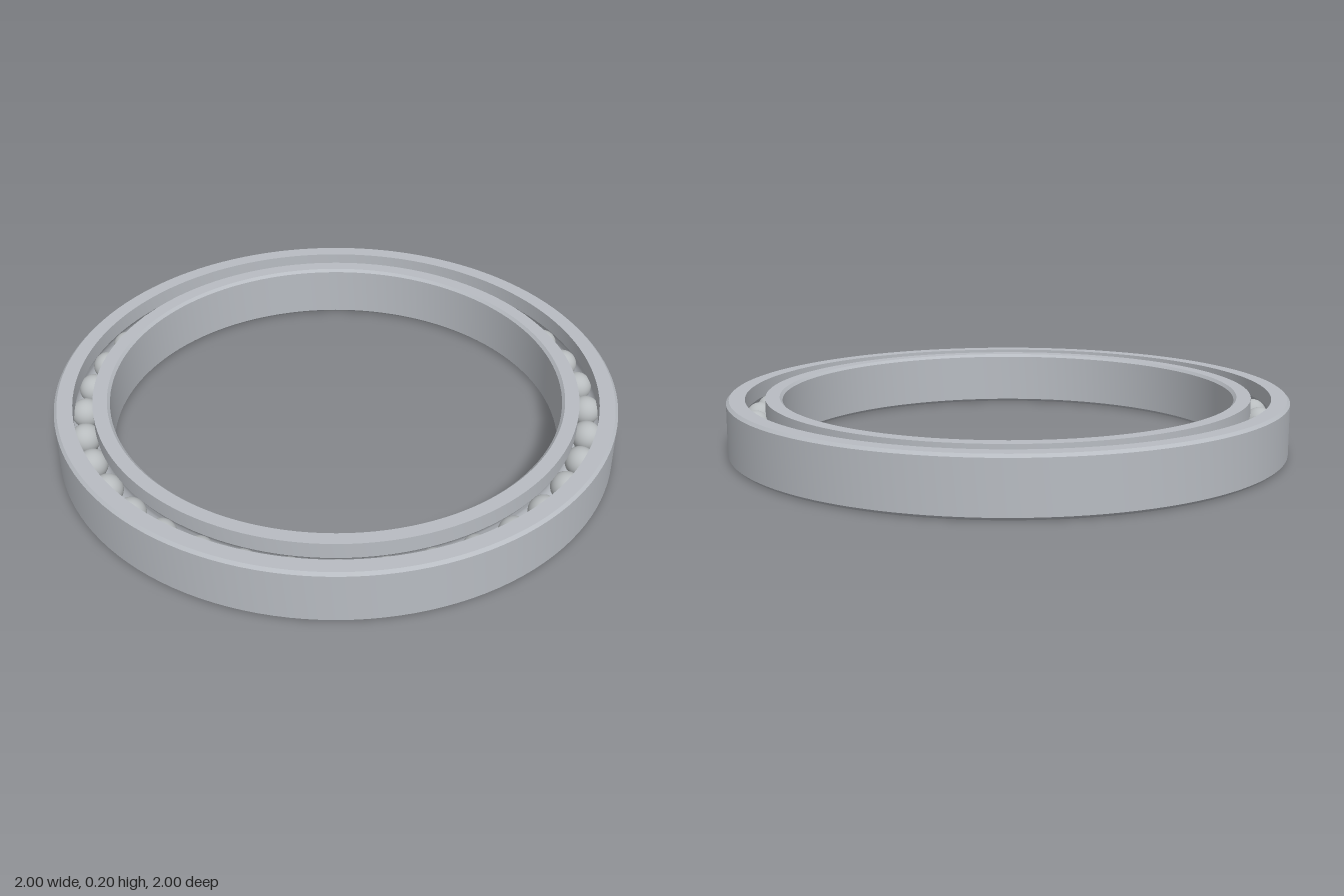
import * as THREE from 'three';
import { toCreasedNormals } from 'three/addons/utils/BufferGeometryUtils.js';

const HEIGHT = 0.2;
const CHAMFER = 0.01;
const PITCH = 0.9; // radius of the circle of ball centres
const BALL = 0.053;
const GROOVE = 0.055;
const BALLS = 37;

const ringSteel = new THREE.MeshStandardMaterial({ color: 0xb8bcc2 });
ringSteel.name = 'ringSteel';
const ballSteel = new THREE.MeshStandardMaterial({ color: 0xb8bcbe });
ballSteel.name = 'ballSteel';

// Ring turned from a closed section: chamfered plain wall, grooved race wall
function makeRing(name, plainR, raceR) {
  const side = Math.sign(plainR - raceR); // +1 outer ring, -1 inner ring
  const c = CHAMFER;
  const inset = plainR - side * c;
  const points = [
    new THREE.Vector2(inset, 0),
    new THREE.Vector2(plainR, c),
    new THREE.Vector2(plainR, HEIGHT - c),
    new THREE.Vector2(inset, HEIGHT),
    new THREE.Vector2(raceR, HEIGHT),
  ];
  // Circular race groove, from top to bottom
  const reach = Math.acos(Math.abs(raceR - PITCH) / GROOVE);
  for (let i = 0; i <= 10; i++) {
    const a = reach * (1 - i / 5);
    points.push(new THREE.Vector2(
      PITCH + side * GROOVE * Math.cos(a),
      HEIGHT / 2 + GROOVE * Math.sin(a)
    ));
  }
  points.push(new THREE.Vector2(raceR, 0), new THREE.Vector2(inset, 0));
  if (side < 0) points.reverse(); // keep the faces pointing outwards

  const geometry = toCreasedNormals(new THREE.LatheGeometry(points, 128), 0.5);
  const ring = new THREE.Mesh(geometry, ringSteel);
  ring.name = name;
  return ring;
}

export function createModel() {
  const model = new THREE.Group();
  model.name = 'ballBearing';
  model.add(makeRing('outerRing', 1, 0.935), makeRing('innerRing', 0.805, 0.865));

  // Evenly spaced balls between the races
  const balls = new THREE.Group();
  balls.name = 'balls';
  const sphere = new THREE.SphereGeometry(BALL, 32, 20);
  for (let i = 0; i < BALLS; i++) {
    const a = (i / BALLS) * Math.PI * 2;
    const ball = new THREE.Mesh(sphere, ballSteel);
    ball.name = 'ball';
    ball.position.set(PITCH * Math.cos(a), HEIGHT / 2, PITCH * Math.sin(a));
    balls.add(ball);
  }
  model.add(balls);
  return model;
}
